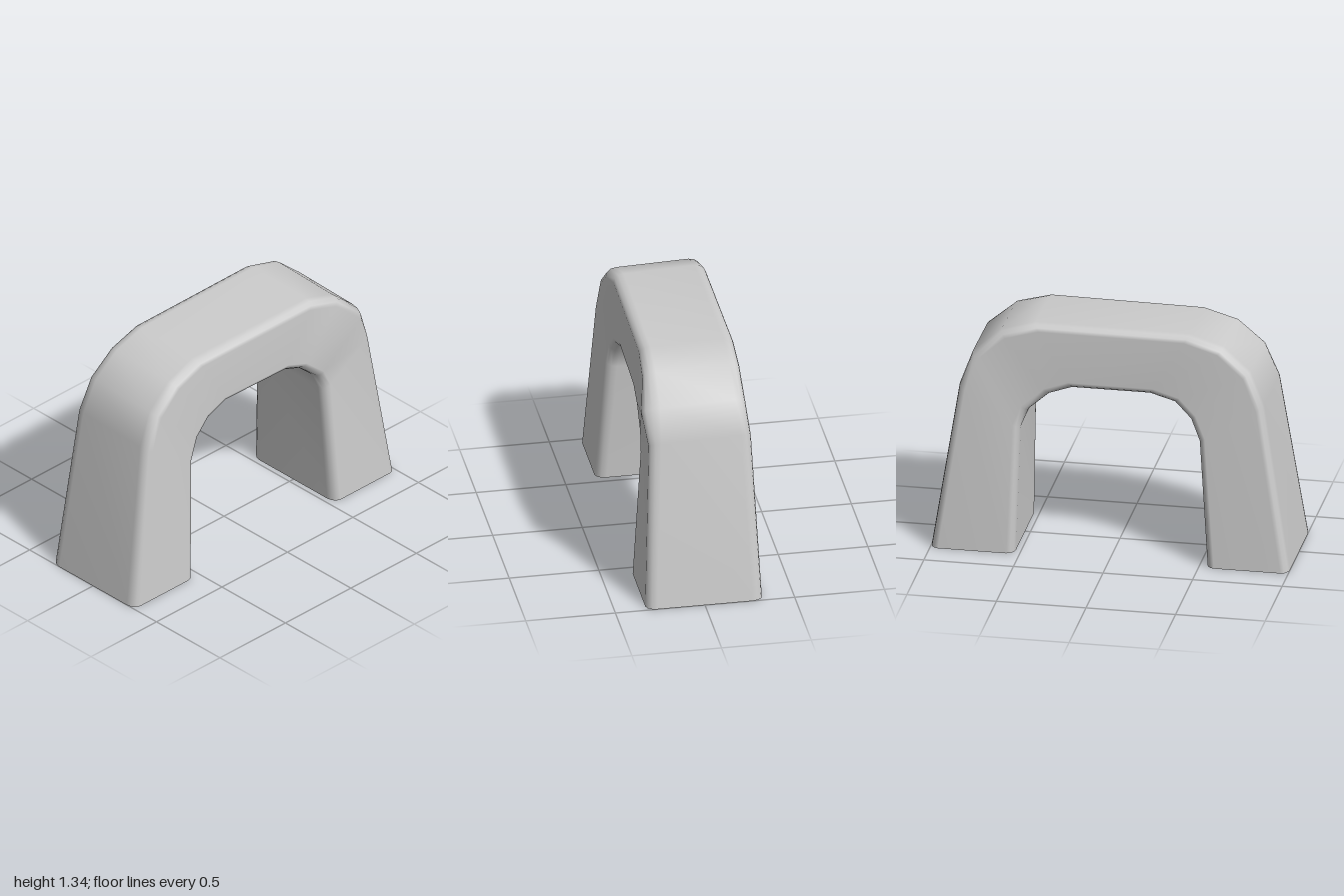
import * as THREE from 'three';

// Stations along the arch, front foot to back foot:
// outer z, outer y, inner z, inner y, x of -x side, x of +x side, corner bulge on the +x side
const STATIONS = [
  [1.00, 0.00, 0.54, 0.00, -0.325, 0.325, 0],
  [0.85, 0.95, 0.49, 0.72, -0.29, 0.275, 0],
  [0.77, 1.14, 0.44, 0.84, -0.275, 0.265, 0],
  [0.62, 1.27, 0.35, 0.93, -0.265, 0.26, 0],
  [0.43, 1.33, 0.21, 0.97, -0.265, 0.25, 0],
  [-0.43, 1.335, -0.22, 0.97, -0.265, 0.26, 0],
  [-0.62, 1.28, -0.35, 0.925, -0.265, 0.265, 0.01],
  [-0.78, 1.14, -0.47, 0.82, -0.27, 0.27, 0.04],
  [-0.85, 0.95, -0.51, 0.72, -0.29, 0.275, 0.005],
  [-1.00, 0.00, -0.53, 0.00, -0.325, 0.325, 0],
];
const RX = 0.06, RV = 0.045, STEPS = 3;

// Rounded-rectangle loop swept through one station
function sectionPoints([zo, yo, zi, yi, left, right, bulge]) {
  const depth = Math.hypot(zo - zi, yo - yi);
  const points = [];
  for (let corner = 0; corner < 4; corner++) {
    const plusX = corner === 0 || corner === 3;
    const outer = corner >= 2;
    for (let s = 0; s <= STEPS; s++) {
      const a = (corner + s / STEPS) * Math.PI / 2;
      let x = (plusX ? right - RX : left + RX) + RX * Math.cos(a);
      const d = (outer ? depth - RV : RV) - RV * Math.sin(a);
      const t = d / depth;
      if (corner === 3 && s > 0) x += bulge * s / STEPS;
      const y = yi + (yo - yi) * t;
      // the span leans slightly down towards +x
      points.push(x, y * (1 - 0.025 * x), zi + (zo - zi) * t);
    }
  }
  return points;
}

export function createModel() {
  const group = new THREE.Group();
  group.name = 'archway';

  const positions = STATIONS.flatMap(sectionPoints);
  const n = 4 * (STEPS + 1);
  const index = [];
  for (let k = 0; k < STATIONS.length - 1; k++) {
    for (let j = 0; j < n; j++) {
      const a = k * n + j, b = k * n + (j + 1) % n;
      index.push(a, b, a + n, b, b + n, a + n);
    }
  }
  const geometry = new THREE.BufferGeometry();
  geometry.setAttribute('position', new THREE.Float32BufferAttribute(positions, 3));
  geometry.setIndex(index);
  geometry.computeVertexNormals();

  // Hollow shell, open under both feet
  const arch = new THREE.Mesh(geometry, new THREE.MeshStandardMaterial({ color: 0xcccccc, side: THREE.DoubleSide }));
  arch.name = 'arch';
  group.add(arch);
  return group;
}
